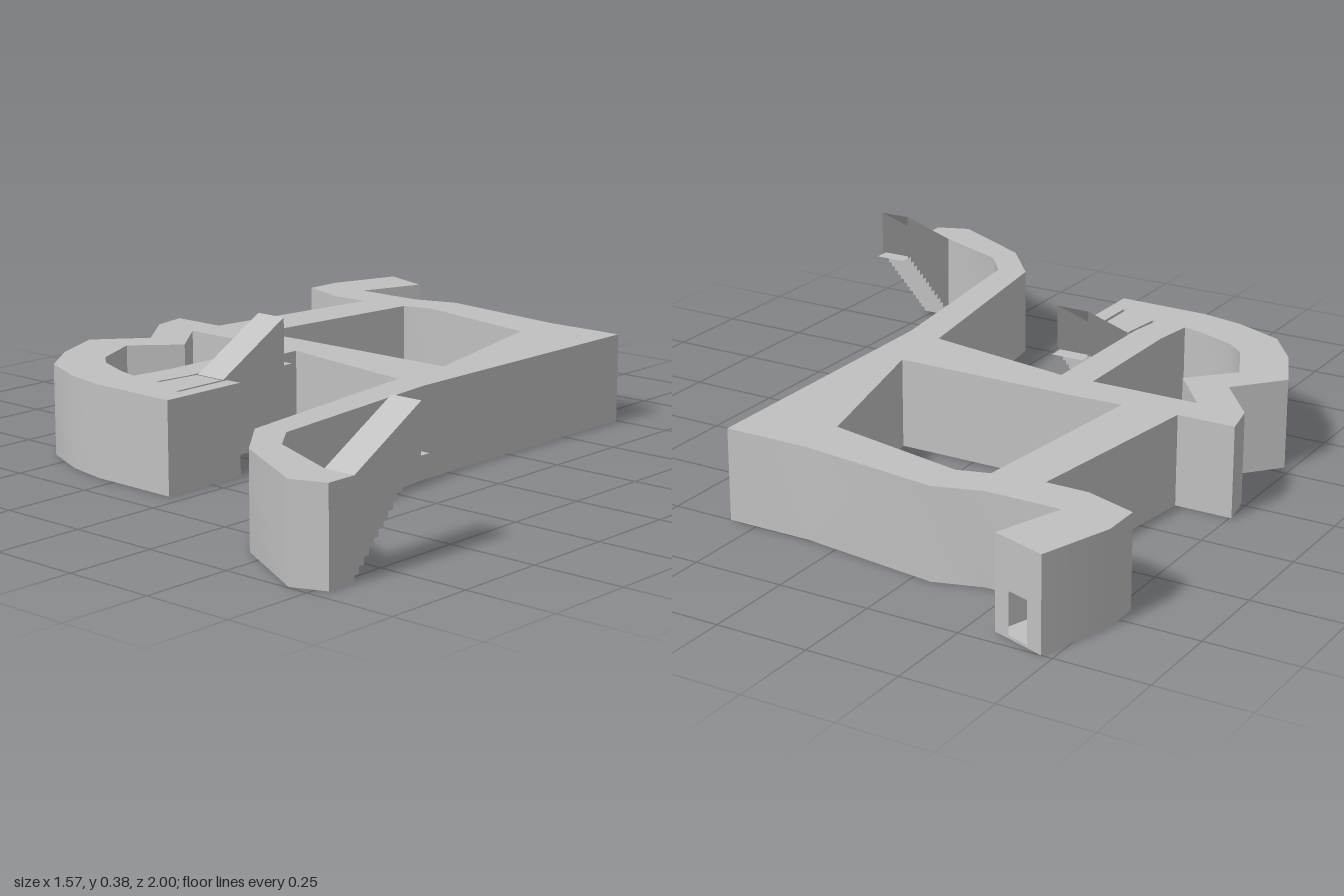
import * as THREE from 'three';
import { toCreasedNormals } from 'three/addons/utils/BufferGeometryUtils.js';

const H = 0.25; // height of the corridors

// Plan outline as [x, z]
const outline = [
  [-0.72, -1], [-0.57, -0.95], [-0.635, -0.76], [-0.43, -0.76], [-0.3, -0.8], [0.09, -0.75],
  [0.33, -0.75], [0.33, 0.1], [0.4, 0.69], [0.47, 0.78], [0.69, 0.875], [0.78, 0.875],
  [0.78, 0.96], [0.69, 0.995], [0.44, 0.86], [0.32, 0.715], [0.23, 0.085], [-0.2, 0.01],
  [-0.203, 0.42], [-0.217, 0.52], [-0.206, 0.52], [-0.193, 0.4], [-0.1, 0.4], [-0.1, 0.565],
  [-0.09, 0.565], [-0.09, 0.39], [-0.045, 0.39], [-0.045, 0.65], [-0.31, 0.645], [-0.43, 0.62],
  [-0.57, 0.56], [-0.66, 0.44], [-0.73, 0.285], [-0.62, 0.155], [-0.735, 0.01], [-0.755, -0.09],
  [-0.595, -0.09], [-0.525, -0.64], [-0.64, -0.64], [-0.785, -0.69], [-0.785, -0.8],
];
const OPEN_EDGES = [0, 10, 21]; // doorway end and the two stair mouths

const courtyards = [
  [[-0.44, -0.1], [-0.3, -0.107], [0.225, -0.107], [0.1, -0.6], [-0.3, -0.685], [-0.385, -0.66]],
  [[-0.485, 0.155], [-0.595, 0.27], [-0.53, 0.41], [-0.48, 0.455], [-0.37, 0.5], [-0.31, 0.515],
    [-0.295, 0.4], [-0.295, 0.01], [-0.6, 0.01]],
];

const toPoints = (list, sign) => list.map(([x, z]) => new THREE.Vector2(x, sign * z));

// Horizontal sheet facing up (sign -1) or down (sign 1)
function planSheet(sign, y) {
  const shape = new THREE.Shape(toPoints(outline, sign));
  for (const c of courtyards) shape.holes.push(new THREE.Path(toPoints(c, sign)));
  return new THREE.ShapeGeometry(shape).rotateX(sign * Math.PI / 2).translate(0, y, 0);
}

// Vertical walls along a closed plan line
function wallStrip(list, skip = []) {
  const pos = [];
  list.forEach(([ax, az], i) => {
    if (skip.includes(i)) return;
    const [bx, bz] = list[(i + 1) % list.length];
    pos.push(ax, 0, az, ax, H, az, bx, H, bz, ax, 0, az, bx, H, bz, bx, 0, bz);
  });
  const g = new THREE.BufferGeometry();
  g.setAttribute('position', new THREE.Float32BufferAttribute(pos, 3));
  return toCreasedNormals(g, 0.65);
}

// Sheet across x from x0 to x1 along a line of [z, y] points
function crossStrip(line, x0, x1) {
  const pos = [];
  for (let i = 0; i < line.length - 1; i++) {
    const [az, ay] = line[i], [bz, by] = line[i + 1];
    pos.push(x0, ay, az, x1, ay, az, x1, by, bz, x0, ay, az, x1, by, bz, x0, by, bz);
  }
  const g = new THREE.BufferGeometry();
  g.setAttribute('position', new THREE.Float32BufferAttribute(pos, 3));
  g.computeVertexNormals();
  return g;
}

export function createModel() {
  const model = new THREE.Group();
  const stone = new THREE.MeshStandardMaterial({ color: 0xc0c0c0, side: THREE.DoubleSide });
  stone.name = 'light grey';
  const add = (parent, name, geometry) => {
    const mesh = new THREE.Mesh(geometry, stone);
    mesh.name = name;
    parent.add(mesh);
    return mesh;
  };

  // Corridor shell
  add(model, 'roof', planSheet(-1, H));
  add(model, 'floor', planSheet(1, 0));
  add(model, 'outerWalls', wallStrip(outline, OPEN_EDGES));
  courtyards.forEach((c, i) => add(model, 'courtyardWalls' + (i + 1), wallStrip(c)));

  // End wall with a doorway
  const [[ax, az], [bx, bz]] = outline;
  const width = Math.hypot(bx - ax, bz - az);
  const end = new THREE.Shape([[0, 0], [width, 0], [width, H], [0, H]].map(p => new THREE.Vector2(...p)));
  end.holes.push(new THREE.Path(
    [[0.3, 0.008], [0.3, 0.12], [0.7, 0.12], [0.7, 0.008]].map(([t, y]) => new THREE.Vector2(t * width, y))));
  const door = add(model, 'doorwayWall', new THREE.ShapeGeometry(end));
  door.position.set(bx, 0, bz);
  door.rotation.y = Math.PI + Math.atan2(bz - az, bx - ax) * -1;

  // Covered stairs climbing towards the back
  function stairs(name, x0, x1, zStart) {
    const group = new THREE.Group();
    group.name = name;
    const zEnd = zStart - 0.23, steps = 14;
    const treads = [[zStart, 0]];
    for (let i = 0; i < steps; i++) {
      const z = zStart + (zEnd - zStart) * i / steps;
      const y = H * (i + 1) / steps;
      treads.push([z, y], [zStart + (zEnd - zStart) * (i + 1) / steps, y]);
    }
    const slope = [[zStart, H], [zEnd, 0.38]];
    add(group, 'steps', crossStrip([...treads].reverse(), x1, x0).scale(1, 1, 1));
    add(group, 'landing', crossStrip([[zEnd, H], [zEnd - 0.03, H]], x0, x1));
    add(group, 'slopedRoof', crossStrip(slope, x0, x1));

    // Side walls follow the steps below and the slope above
    const side = new THREE.Shape([...treads, [zEnd, 0.38], [zStart, H]].map(([z, y]) => new THREE.Vector2(-z, y)));
    for (const x of [x0, x1]) {
      const g = new THREE.ShapeGeometry(side).rotateY(Math.PI / 2);
      const wall = add(group, x === x0 ? 'rightSide' : 'leftSide', g);
      wall.position.x = x;
    }
    model.add(group);
  }
  stairs('frontStairs', 0.69, 0.78, 0.875);
  stairs('innerStairs', -0.193, -0.1, 0.395);

  return model;
}
